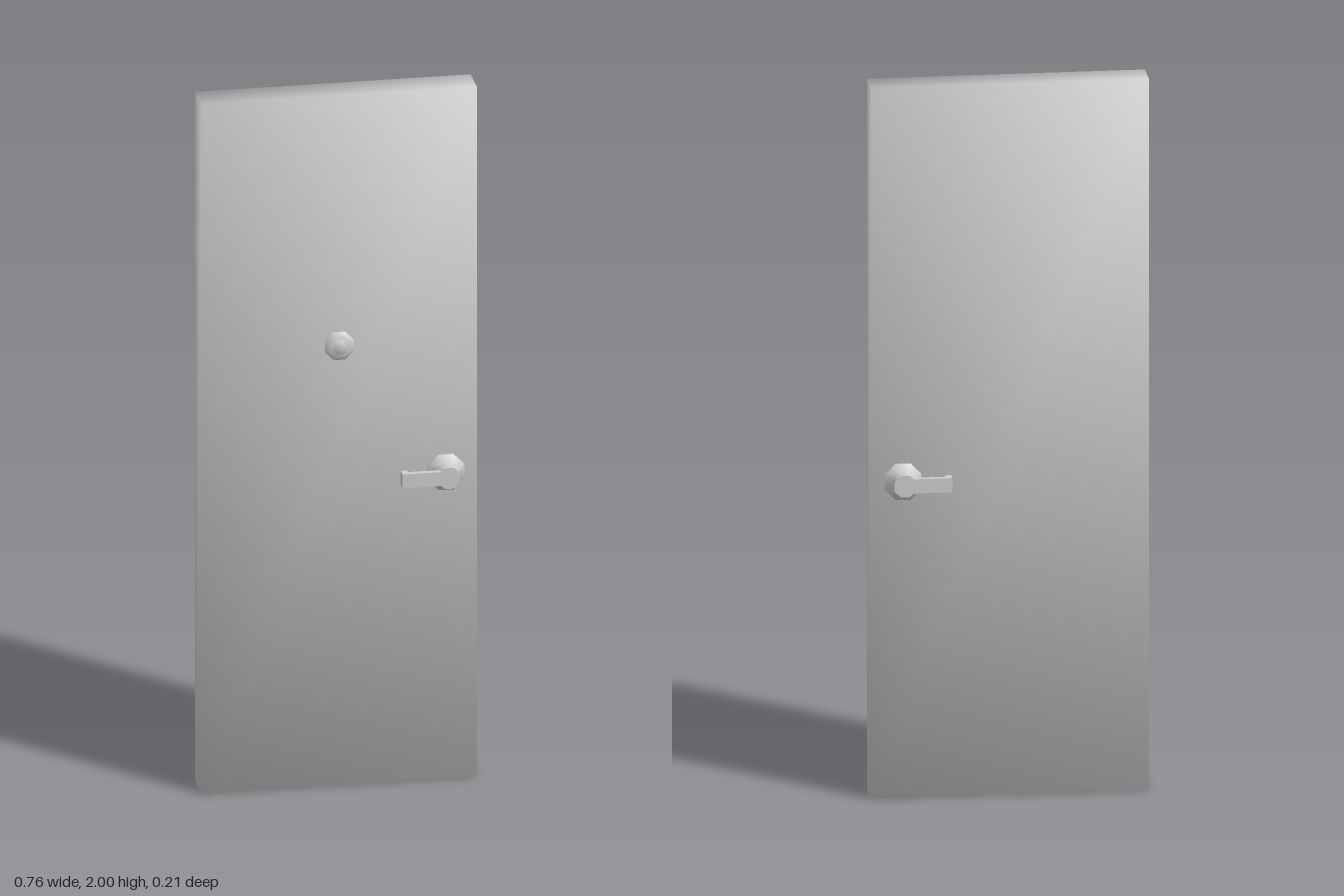
import * as THREE from 'three';

const material = new THREE.MeshStandardMaterial({ color: 0xcccccc });
const FACE = 0.048; // half the thickness of the door

function addMesh(parent, name, geometry, x = 0, y = 0, z = 0) {
  const mesh = new THREE.Mesh(geometry, material);
  mesh.name = name;
  mesh.position.set(x, y, z);
  parent.add(mesh);
  return mesh;
}

// Eight-sided turned fitting standing out from the door; side is +1 front, -1 back
function turned(profile, side) {
  const points = profile.map(([r, d]) => new THREE.Vector2(r / Math.cos(Math.PI / 8), d));
  const geometry = new THREE.LatheGeometry(points, 8, Math.PI / 8);
  return geometry.rotateX(side * Math.PI / 2);
}

// Door slab with soft normals pointing out through its corners
function slabGeometry() {
  const geometry = new THREE.BoxGeometry(0.76, 2, FACE * 2);
  const { position, normal } = geometry.attributes;
  const n = new THREE.Vector3();
  for (let i = 0; i < position.count; i++) {
    n.set(Math.sign(position.getX(i)), Math.sign(position.getY(i)), Math.sign(position.getZ(i))).normalize();
    normal.setXYZ(i, n.x, n.y, n.z);
  }
  return geometry;
}

function createHandle(side) {
  const handle = new THREE.Group();
  handle.name = side > 0 ? 'frontHandle' : 'backHandle';
  handle.position.set(0.294, 0.89, side * FACE);

  // Rose plate tapering into the neck
  addMesh(handle, 'roseAndNeck', turned(
    [[0.05, 0], [0.05, 0.01], [0.031, 0.022], [0.03, 0.057], [0.03, 0.057], [0, 0.057]], side));

  // Lever with its tip returned towards the door
  const outline = new THREE.Shape([
    [-0.129, 0.057], [-0.129, 0.026], [-0.111, 0.026], [-0.111, 0.04], [-0.01, 0.04], [-0.01, 0.057],
  ].map(([x, d]) => new THREE.Vector2(x, d)));
  const lever = new THREE.ExtrudeGeometry(outline, { depth: 0.04, bevelEnabled: false });
  lever.translate(0, 0, -0.02).rotateX(side * Math.PI / 2);
  addMesh(handle, 'lever', lever);
  return handle;
}

export function createModel() {
  const door = new THREE.Group();
  door.name = 'door';
  addMesh(door, 'slab', slabGeometry(), 0, 1, 0);

  // Peephole on the front only
  addMesh(door, 'peephole', turned(
    [[0.039, 0], [0.039, 0.008], [0.026, 0.015], [0.014, 0.016], [0.013, 0.021], [0, 0.021]], 1), 0, 1.275, FACE);

  // A matching handle on each face
  for (const side of [1, -1]) door.add(createHandle(side));
  return door;
}
